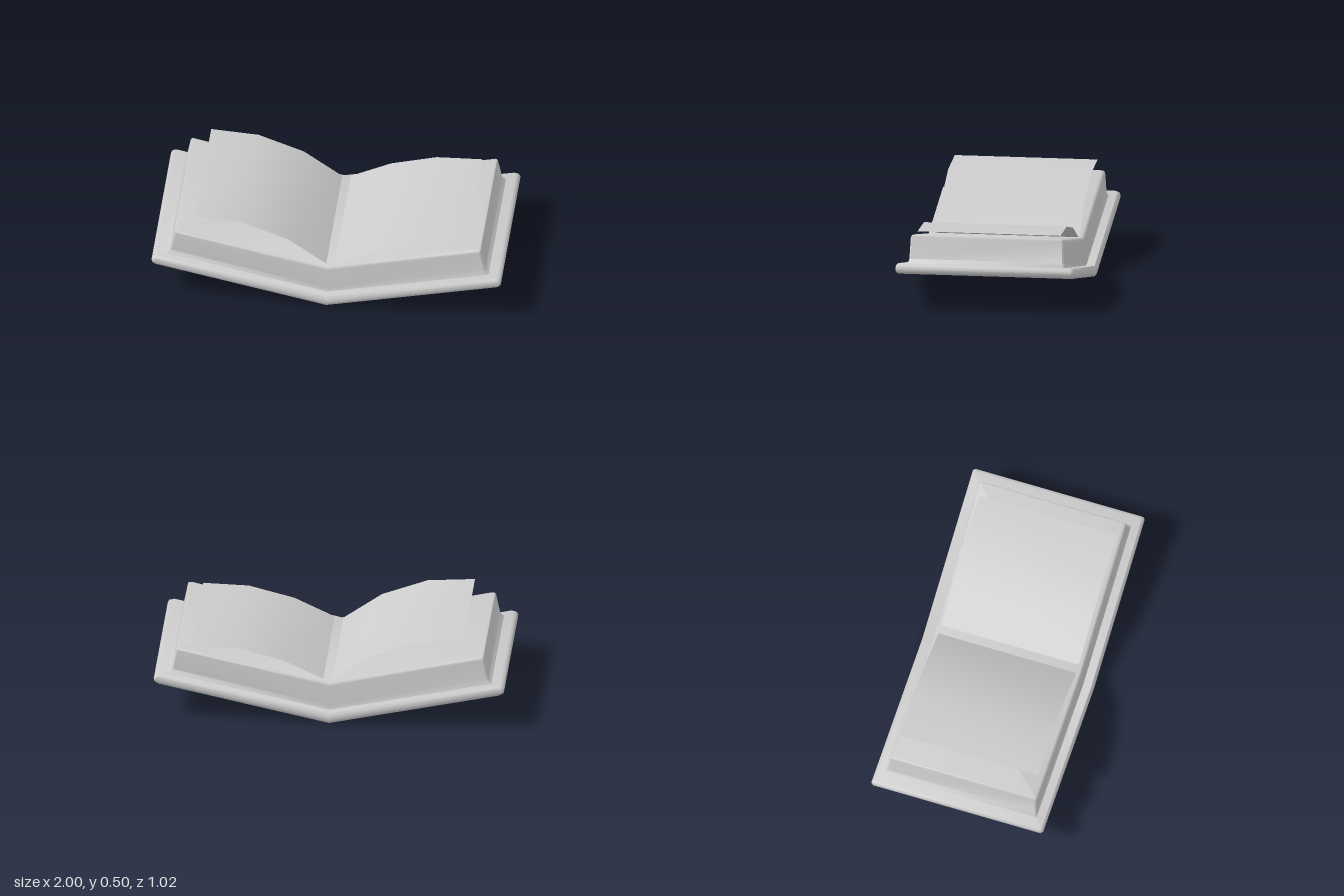
import * as THREE from 'three';
import { toCreasedNormals } from 'three/addons/utils/BufferGeometryUtils.js';

const material = new THREE.MeshStandardMaterial({ color: 0xcccccc });
const sheetMaterial = new THREE.MeshStandardMaterial({ color: 0xcccccc, side: THREE.DoubleSide });

// One outline with clipped corners, folded into a V along x = 0
function foldedRing([a, z, h], slope, c) {
  const half = [[a - c, z], [a, z - c], [a, c - z], [a - c, -z]];
  const outline = [[0, z], ...half, [0, -z], ...half.map(([x, w]) => [-x, -w])];
  return outline.map(([x, w]) => [x, h + slope * Math.abs(x), w]);
}

// Solid folded slab from layers [half width, half depth, height at the fold]
function foldedSlab(name, layers, slope, corner) {
  const rings = layers.map((layer) => foldedRing(layer, slope, corner));
  const n = rings[0].length;
  const index = [];
  for (let r = 0; r < rings.length - 1; r++) {
    for (let i = 0; i < n; i++) {
      const a = r * n + i, b = r * n + (i + 1) % n;
      index.push(a, b, b + n, a, b + n, a + n);
    }
  }
  // Each cap is two flat halves meeting at the fold
  const top = (rings.length - 1) * n;
  for (const start of [0, n / 2]) {
    for (let i = 1; i < n / 2; i++) {
      const p = start + i, q = (start + i + 1) % n;
      index.push(top + start, top + p, top + q, start, q, p);
    }
  }
  const geometry = new THREE.BufferGeometry();
  geometry.setAttribute('position', new THREE.Float32BufferAttribute(rings.flat(2), 3));
  geometry.setIndex(index);
  const mesh = new THREE.Mesh(toCreasedNormals(geometry, 0.75), material);
  mesh.name = name;
  return mesh;
}

// Thin curved sheet following a profile of [x, y] points
function looseSheet(name, profile) {
  const geometry = new THREE.PlaneGeometry(1, 0.82, profile.length - 1, 1).rotateX(-Math.PI / 2);
  const position = geometry.attributes.position;
  for (let i = 0; i < position.count; i++) {
    const [x, y] = profile[i % profile.length];
    position.setX(i, x);
    position.setY(i, y);
  }
  geometry.computeVertexNormals();
  const mesh = new THREE.Mesh(geometry, sheetMaterial);
  mesh.name = name;
  return mesh;
}

export function createModel() {
  const book = new THREE.Group();
  book.name = 'openBook';

  // Cover board with rounded rim
  book.add(foldedSlab('cover', [
    [0.982, 0.497, 0.003], [0.996, 0.508, 0.014], [1, 0.511, 0.03],
    [0.992, 0.508, 0.05], [0.973, 0.497, 0.064],
  ], 0.217, 0.012));

  // Page block with a small foot, tapered sides and softened top edge
  book.add(foldedSlab('pageBlock', [
    [0.925, 0.452, 0.055], [0.915, 0.448, 0.068], [0.902, 0.443, 0.085],
    [0.879, 0.438, 0.208], [0.874, 0.434, 0.22], [0.861, 0.424, 0.227],
  ], 0.223, 0.008));

  // Two lifted pages
  book.add(looseSheet('rightPage', [[-0.76, 0.505], [-0.49, 0.487], [-0.23, 0.39], [-0.01, 0.233]]));
  book.add(looseSheet('leftPage', [[0.04, 0.238], [0.27, 0.347], [0.53, 0.414], [0.79, 0.421]]));

  return book;
}
